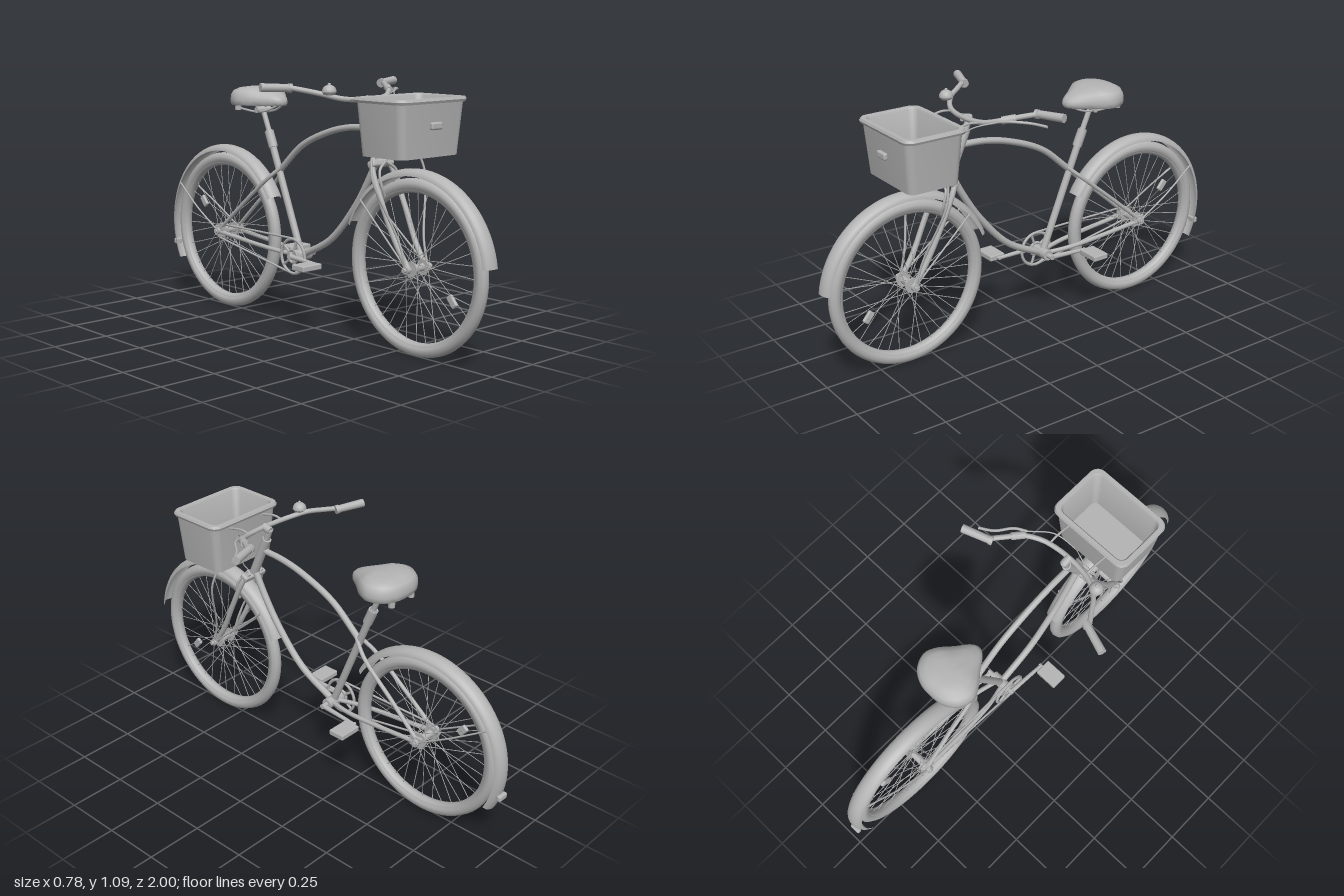
import * as THREE from 'three';
import { toCreasedNormals } from 'three/addons/utils/BufferGeometryUtils.js';
import { RoundedBoxGeometry } from 'three/addons/geometries/RoundedBoxGeometry.js';

const V = (x, y, z) => new THREE.Vector3(x, y, z);
const rad = THREE.MathUtils.degToRad;
const FRONT = V(0, 0.362, 0.607), REAR = V(0, 0.362, -0.593), CRANK = V(0, 0.315, -0.083);

// Skin a stack of equal-length closed loops, listed bottom to top
function loft(rings) {
  const n = rings[0].length, index = [];
  for (let i = 0; i < rings.length - 1; i++) {
    for (let j = 0; j < n; j++) {
      const a = i * n + j, b = i * n + (j + 1) % n;
      index.push(a, b, a + n, b, b + n, a + n);
    }
  }
  const g = new THREE.BufferGeometry().setFromPoints(rings.flat());
  g.setIndex(index);
  return toCreasedNormals(g, rad(40));
}

// Rounded rectangle loop in a horizontal plane
function roundedLoop(w, d, r, y, cz) {
  const loop = [];
  for (let k = 0; k < 4; k++) {
    for (let i = 0; i <= 5; i++) {
      const a = (k + i / 5) * Math.PI / 2;
      const sx = k === 0 || k === 3 ? 1 : -1, sz = k < 2 ? 1 : -1;
      loop.push(V(sx * (w - r) + r * Math.cos(a), y, cz - sz * (d - r) - r * Math.sin(a)));
    }
  }
  return loop;
}

export function createModel() {
  const bike = new THREE.Group();
  bike.name = 'bicycle';
  const grey = new THREE.MeshStandardMaterial({ color: 0xb4b4b4, side: THREE.DoubleSide });
  grey.name = 'grey';

  const add = (name, geometry, pos = V(0, 0, 0), parent = bike) => {
    const m = new THREE.Mesh(geometry, grey);
    m.name = name;
    m.position.copy(pos);
    parent.add(m);
    return m;
  };
  const rod = (name, a, b, r, rEnd = r, sides = 12, parent = bike) => {
    const dir = b.clone().sub(a);
    const m = add(name, new THREE.CylinderGeometry(rEnd, r, dir.length(), sides), a.clone().add(b).multiplyScalar(0.5), parent);
    m.quaternion.setFromUnitVectors(V(0, 1, 0), dir.normalize());
    return m;
  };
  const tube = (name, pts, r, seg = 32, sides = 10) =>
    add(name, new THREE.TubeGeometry(new THREE.CatmullRomCurve3(pts.map(p => V(...p))), seg, r, sides));
  const axleRod = (name, c, x0, x1, r, parent) => rod(name, V(x0, c.y, c.z), V(x1, c.y, c.z), r, r, 16, parent);
  // Sweep a profile of (radius, across) points around the x axis, angle from +z to +y
  const sweep = (name, profile, c, from = 0, to = 360, parent = bike) => {
    const g = new THREE.LatheGeometry(profile.map(p => new THREE.Vector2(...p)), 72, rad(from), rad(to - from));
    return add(name, g.rotateZ(Math.PI / 2), c, parent);
  };

  // Wheels: tyre, rim, crossed spokes, hub and spoke reflector
  const wheel = (name, c, reflectorAngle) => {
    const g = new THREE.Group();
    g.name = name;
    bike.add(g);
    const tyre = add('tyre', new THREE.TorusGeometry(0.335, 0.027, 10, 72), c, g);
    tyre.rotation.y = Math.PI / 2;
    sweep('rim', [[0.318, -0.02], [0.308, -0.017], [0.303, 0], [0.308, 0.017], [0.318, 0.02]], c, 0, 360, g);
    axleRod('hub', c, -0.04, 0.04, 0.016, g);
    axleRod('axle', c, -0.082, 0.082, 0.009, g);
    for (const s of [-1, 1]) axleRod('hubFlange', c, s * 0.032, s * 0.038, 0.032, g);
    for (let i = 0; i < 36; i++) {
      const a = i / 36 * Math.PI * 2, s = i % 2 ? 1 : -1;
      const b = a + (i % 4 < 2 ? 1 : -1) * 1.2;
      rod('spoke', V(s * 0.035, c.y + 0.028 * Math.sin(b), c.z + 0.028 * Math.cos(b)),
        V(0, c.y + 0.306 * Math.sin(a), c.z + 0.306 * Math.cos(a)), 0.0018, 0.0018, 4, g);
    }
    const a = rad(reflectorAngle);
    const reflector = add('spokeReflector', new RoundedBoxGeometry(0.016, 0.032, 0.055, 2, 0.007),
      V(0, c.y + 0.215 * Math.sin(a), c.z + 0.215 * Math.cos(a)), g);
    reflector.rotation.x = rad(50);
  };
  wheel('frontWheel', FRONT, -29);
  wheel('rearWheel', REAR, 148);

  // Mudguards with their stays
  const guard = [];
  for (let i = 0; i <= 10; i++) {
    const a = i / 10 * Math.PI;
    guard.push([0.372 + 0.028 * Math.sin(a), -0.039 * Math.cos(a)]);
  }
  sweep('frontMudguard', guard, FRONT, 8, 159);
  sweep('rearMudguard', guard, REAR, 29, 207);
  for (const s of [-1, 1]) {
    rod('frontMudguardStay', V(s * 0.06, FRONT.y, FRONT.z), V(s * 0.038, 0.61, 0.32), 0.004, 0.004, 6);
    tube('rearMudguardStay', [[s * 0.065, REAR.y, REAR.z], [s * 0.06, 0.46, -0.76], [s * 0.038, 0.555, -0.915]], 0.004, 12, 6);
  }
  add('rearLight', new RoundedBoxGeometry(0.05, 0.028, 0.022, 2, 0.008), V(0, 0.255, -0.985));

  // Frame
  rod('headTube', V(0, 0.77, 0.396), V(0, 0.965, 0.308), 0.02);
  rod('steerer', V(0, 0.95, 0.315), V(0, 1.015, 0.29), 0.014);
  tube('topTube', [[0, 0.905, 0.33], [0, 0.898, 0.22], [0, 0.872, 0.1], [0, 0.8, -0.075], [0, 0.685, -0.215]], 0.014);
  tube('downTube', [[0, 0.79, 0.385], [0, 0.68, 0.326], [0, 0.56, 0.246], [0, 0.41, 0.105], [0, 0.318, -0.07]], 0.015);
  rod('seatTube', CRANK, V(0, 0.85, -0.3), 0.016);
  rod('seatClamp', V(0, 0.775, -0.268), V(0, 0.845, -0.298), 0.021);
  rod('seatPost', V(0, 0.84, -0.295), V(0, 0.955, -0.345), 0.012);
  axleRod('bottomBracket', CRANK, -0.045, 0.045, 0.024);
  for (const s of [-1, 1]) {
    tube('seatStay', [[0, 0.7, -0.2], [s * 0.035, 0.63, -0.28], [s * 0.047, 0.49, -0.45], [s * 0.055, 0.37, -0.59]], 0.009);
    tube('chainStay', [[s * 0.015, 0.315, -0.09], [s * 0.042, 0.325, -0.22], [s * 0.055, 0.358, -0.59]], 0.01);
    add('dropout', new THREE.BoxGeometry(0.012, 0.045, 0.06), V(s * 0.055, 0.362, -0.588));
    axleRod('rearAxleNut', REAR, s * 0.058, s * 0.075, 0.016);
    axleRod('frontAxleNut', FRONT, s * 0.052, s * 0.07, 0.016);
    // Fork blade and rim brake arm
    tube('forkBlade', [[s * 0.035, 0.785, 0.39], [s * 0.056, 0.745, 0.408], [s * 0.062, 0.6, 0.475], [s * 0.055, 0.46, 0.543], [s * 0.05, 0.362, 0.607]], 0.012);
    tube('brakeArm', [[0, 0.775, 0.425], [s * 0.047, 0.74, 0.44], [s * 0.05, 0.68, 0.455], [s * 0.033, 0.64, 0.455]], 0.006, 16, 6);
  }
  add('forkCrown', new RoundedBoxGeometry(0.125, 0.03, 0.04, 2, 0.01), V(0, 0.765, 0.4)).rotation.x = rad(-25);

  // Chainring, chain, cranks and pedals
  for (const [r, t] of [[0.076, 0.007], [0.028, 0.007]]) {
    add('chainring', new THREE.TorusGeometry(r, t, 6, 40), V(-0.05, CRANK.y, CRANK.z)).rotation.y = Math.PI / 2;
  }
  for (let i = 0; i < 5; i++) {
    const a = i / 5 * Math.PI * 2;
    rod('chainringArm', V(-0.05, CRANK.y, CRANK.z), V(-0.05, CRANK.y + 0.074 * Math.sin(a), CRANK.z + 0.074 * Math.cos(a)), 0.007, 0.006, 6);
  }
  axleRod('rearSprocket', REAR, -0.053, -0.045, 0.034);
  for (const s of [-1, 1]) {
    rod('chainRun', V(-0.05, CRANK.y + s * 0.079, CRANK.z), V(-0.05, REAR.y + s * 0.033, REAR.z), 0.005, 0.005, 6);
    const z = CRANK.z - s * 0.183;
    axleRod('crankAxle', CRANK, 0, s * 0.075, 0.011);
    rod('crankArm', V(s * 0.064, 0.314, CRANK.z), V(s * 0.074, 0.308, z), 0.011, 0.008);
    axleRod('pedalAxle', V(0, 0.308, z), s * 0.065, s * 0.09, 0.007);
    add('pedal', new RoundedBoxGeometry(0.106, 0.025, 0.075, 2, 0.005), V(s * 0.135, 0.308, z));
  }

  // Saddle: teardrop outline domed upward, hollow below
  const half = [[0.028, -0.205], [0.07, -0.26], [0.118, -0.32], [0.136, -0.37], [0.112, -0.43], [0.06, -0.463]];
  const outline = new THREE.CatmullRomCurve3([[0, -0.193], ...half, [0, -0.47],
    ...half.map(([x, z]) => [-x, z]).reverse()].map(([x, z]) => V(x, 0, z)), true).getPoints(48).slice(0, 48);
  const layers = [[0, 0.985], [0.88, 0.98], [0.95, 0.962], [0.99, 0.968], [1, 0.985], [0.98, 1.007], [0.9, 1.025], [0.7, 1.037], [0.4, 1.042], [0, 1.043]];
  add('saddle', loft(layers.map(([k, y]) => outline.map(p => {
    const z = -0.36 + (p.z + 0.36) * k;
    return V(p.x * k, y - 0.22 * Math.max(0, z + 0.32) * Math.max(0, (y - 0.97) / 0.06), z);
  }))));
  for (const s of [-1, 1]) {
    tube('saddleRail', [[s * 0.01, 0.97, -0.21], [s * 0.025, 0.94, -0.28], [s * 0.03, 0.93, -0.35], [s * 0.06, 0.945, -0.44]], 0.005, 20, 6);
    rod('saddleSpring', V(s * 0.06, 0.935, -0.44), V(s * 0.06, 0.98, -0.44), 0.014);
  }
  axleRod('saddleClamp', V(0, 0.938, -0.338), -0.04, 0.04, 0.014);

  // Handlebar, grips and stem
  const bar = [[0.27, 1.07, 0.145], [0.235, 1.06, 0.195], [0.195, 1.047, 0.252], [0.127, 1.027, 0.3], [0.05, 1.02, 0.318]];
  tube('handlebar', [...bar, [0, 1.02, 0.32], ...bar.map(([x, y, z]) => [-x, y, z]).reverse()], 0.011, 64);
  rod('stem', V(0, 1.01, 0.285), V(0, 1.02, 0.325), 0.017);
  for (const s of [-1, 1]) {
    rod('grip', V(s * 0.26, 1.068, 0.142), V(s * 0.382, 1.073, 0.098), 0.016, 0.018, 16);
    rod('gripCollar', V(s * 0.256, 1.067, 0.144), V(s * 0.27, 1.069, 0.138), 0.019, 0.019, 16);
  }
  // Brake lever and cables
  rod('leverClamp', V(0.19, 1.045, 0.262), V(0.222, 1.055, 0.215), 0.016);
  tube('brakeLever', [[0.195, 1.043, 0.28], [0.24, 1.05, 0.25], [0.29, 1.045, 0.19], [0.348, 1.04, 0.155]], 0.006, 20, 6);
  tube('brakeCable', [[0.195, 1.043, 0.28], [0.12, 1.01, 0.36], [0.04, 0.93, 0.4], [0.03, 0.82, 0.43], [0, 0.775, 0.43]], 0.003, 32, 6);
  // Bell
  add('bell', new THREE.SphereGeometry(0.03, 20, 8, 0, Math.PI * 2, 0, Math.PI / 2), V(-0.18, 1.055, 0.285));
  add('bellBase', new THREE.CylinderGeometry(0.03, 0.022, 0.012, 20), V(-0.18, 1.05, 0.285));
  add('bellKnob', new THREE.SphereGeometry(0.007, 8, 6), V(-0.18, 1.085, 0.285));

  // Basket: floor, tapered walls and a rolled rim
  const cz = 0.56;
  add('basket', loft([
    roundedLoop(0.001, 0.001, 0.001, 0.812, cz), roundedLoop(0.167, 0.115, 0.03, 0.812, cz),
    roundedLoop(0.186, 0.13, 0.034, 1.025, cz), roundedLoop(0.195, 0.138, 0.04, 1.024, cz),
    roundedLoop(0.199, 0.142, 0.042, 1.034, cz), roundedLoop(0.194, 0.137, 0.04, 1.044, cz),
    roundedLoop(0.178, 0.121, 0.034, 1.044, cz), roundedLoop(0.172, 0.115, 0.03, 1.036, cz),
    roundedLoop(0.158, 0.102, 0.024, 0.822, cz), roundedLoop(0.001, 0.001, 0.001, 0.822, cz),
  ]));
  add('basketReflector', new RoundedBoxGeometry(0.062, 0.03, 0.02, 2, 0.008), V(0, 0.937, 0.698));
  for (const s of [-1, 1]) {
    tube('basketBracket', [[s * 0.1, 1.02, 0.308], [s * 0.1, 1.026, 0.36], [s * 0.1, 1.01, 0.435]], 0.005, 12, 6);
    tube('basketStrut', [[s * 0.132, 0.815, 0.48], [s * 0.152, 0.725, 0.503], [s * 0.072, 0.47, 0.575], [s * 0.062, 0.362, 0.607]], 0.005, 32, 6);
  }
  return bike;
}
